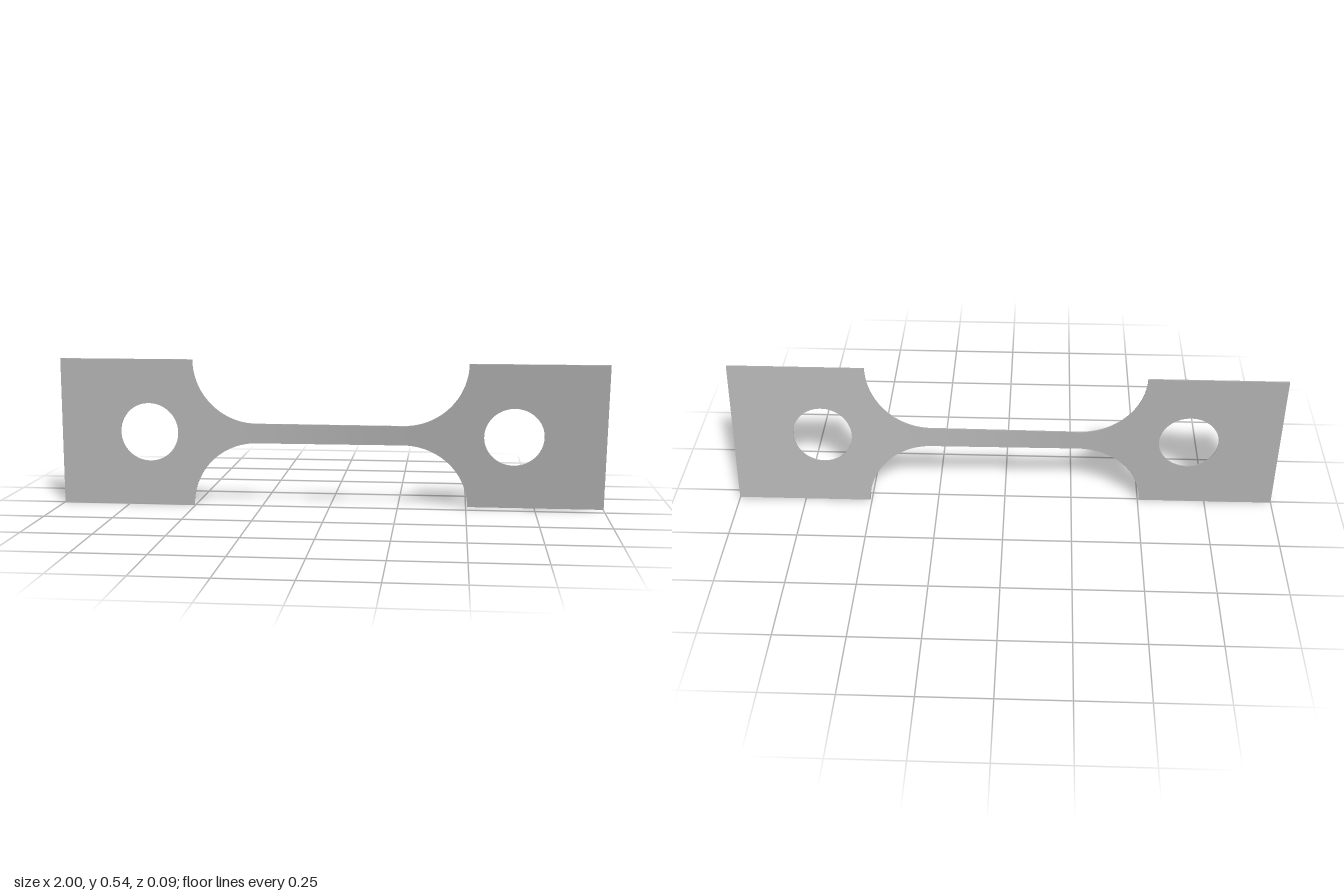
import * as THREE from 'three';

const MID = 0.2715;      // height of the long axis, and half the plate height
const THICK = 0.005;
const NECK = 0.0365;     // half height of the slim middle
const FILLET = MID - NECK;
const NECK_END = 0.27;   // where the fillets begin
const PLATE_IN = NECK_END + FILLET;
const LEAN_A = THREE.MathUtils.degToRad(0.6);
const LEAN_B = THREE.MathUtils.degToRad(9);

// Twist about the long axis, running from one end plate to the other
function twist(geometry) {
  const p = geometry.attributes.position;
  for (let i = 0; i < p.count; i++) {
    const x = p.getX(i), y = p.getY(i), z = p.getZ(i);
    const a = THREE.MathUtils.lerp(LEAN_A, LEAN_B, THREE.MathUtils.smoothstep(x, -0.4, 0.4));
    p.setXYZ(i, x, MID + y * Math.cos(a) - z * Math.sin(a), y * Math.sin(a) + z * Math.cos(a));
  }
  geometry.computeVertexNormals();
  return geometry;
}

// Square plate with a round hole
function plateGeometry(side) {
  const shape = new THREE.Shape();
  shape.moveTo(PLATE_IN, -MID);
  shape.lineTo(1, -MID);
  shape.lineTo(1, MID);
  shape.lineTo(PLATE_IN, MID);
  shape.closePath();
  const hole = new THREE.Path();
  hole.absarc(0.67, 0, 0.108, 0, Math.PI * 2, true);
  shape.holes.push(hole);
  const g = new THREE.ExtrudeGeometry(shape, { depth: THICK, bevelEnabled: false, curveSegments: 48 });
  g.translate(0, 0, -THICK / 2);
  if (side < 0) g.rotateY(Math.PI);
  return twist(g);
}

// Slim bar flaring through circular fillets to the full plate height
function neckGeometry() {
  const n = 72, third = n / 3;
  const g = new THREE.BoxGeometry(n, 2, THICK, n, 8, 1);
  const p = g.attributes.position;
  for (let i = 0; i < p.count; i++) {
    const s = p.getX(i), t = Math.abs(s) - third / 2;
    let x = (s / (third / 2)) * NECK_END, half = NECK;
    if (t > 0) {
      const a = (t / third) * Math.PI / 2;
      x = Math.sign(s) * (NECK_END + FILLET * Math.sin(a));
      half = MID - FILLET * Math.cos(a);
    }
    p.setXYZ(i, x, p.getY(i) * half, p.getZ(i));
  }
  return twist(g);
}

export function createModel() {
  const metal = new THREE.MeshStandardMaterial({ color: 0xb0b0b0 });
  metal.name = 'grey metal';
  const model = new THREE.Group();
  model.name = 'twistedTestStrip';
  const add = (name, geometry) => {
    const mesh = new THREE.Mesh(geometry, metal);
    mesh.name = name;
    model.add(mesh);
  };
  add('neck', neckGeometry());
  add('leftEndPlate', plateGeometry(1));
  add('rightEndPlate', plateGeometry(-1));
  return model;
}
